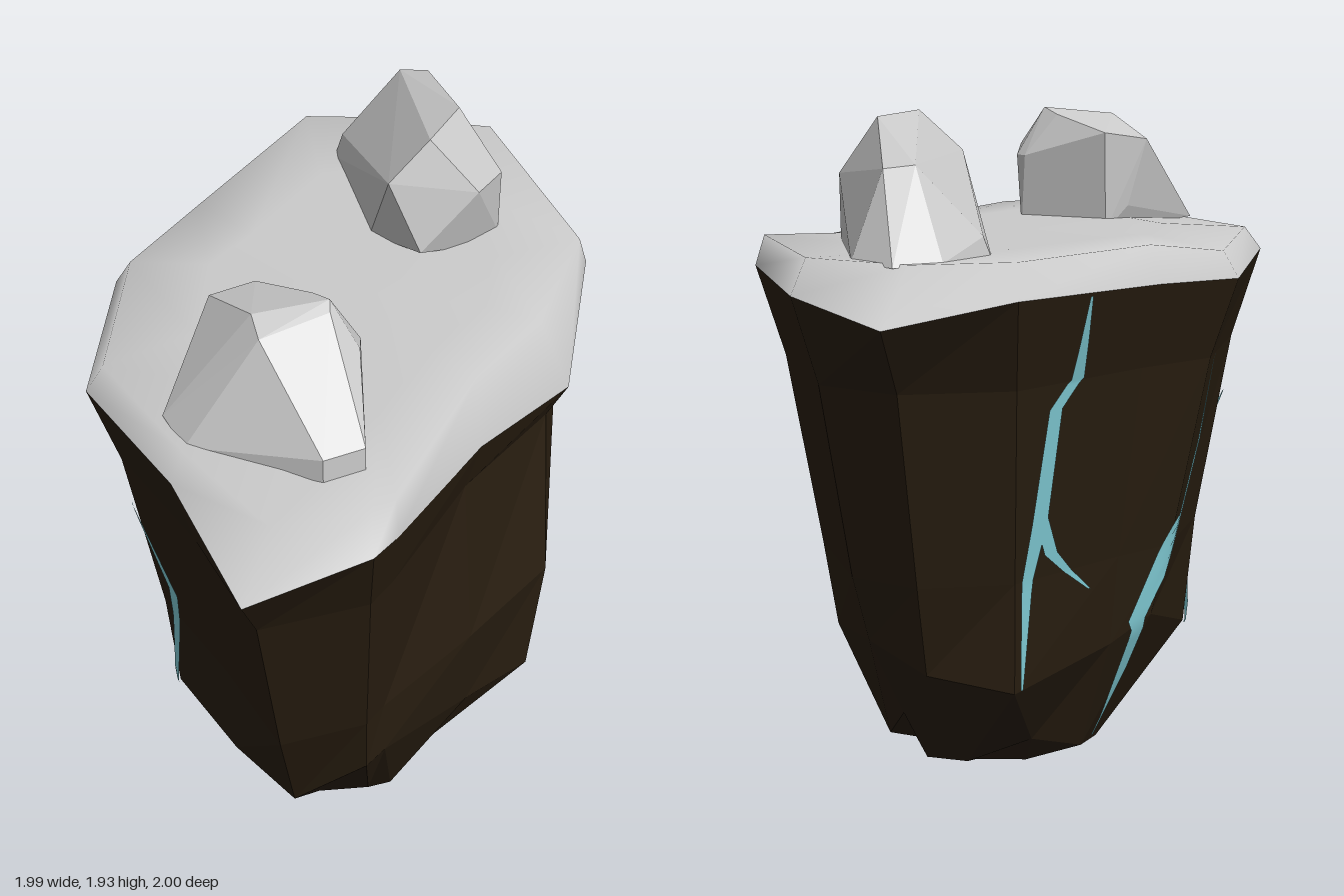
import * as THREE from 'three';
import { ConvexGeometry } from 'three/addons/geometries/ConvexGeometry.js';

// Rim of the island: x, height, z
const RIM = [
  [-1, 1.46, -0.53], [-0.89, 1.39, -0.89], [-0.57, 1.46, -1], [0.17, 1.47, -0.76], [0.49, 1.31, -0.44],
  [0.66, 1.38, 0.02], [0.94, 1.45, 0.52], [0.99, 1.46, 0.64], [0.89, 1.39, 1], [0.4, 1.47, 0.9],
  [-0.12, 1.47, 0.85], [-0.61, 1.44, 0.44], [-0.72, 1.45, 0.1],
];

// Lower break of the body, where the walls turn inwards
const KNEE = [
  [-0.7, 0.3, -0.37], [-0.6, 0.36, -0.6], [-0.38, 0.43, -0.67], [0.12, 0.37, -0.52], [0.5, 0.33, -0.31],
  [0.52, 0.32, -0.06], [0.67, 0.43, 0.36], [0.7, 0.43, 0.45], [0.5, 0.22, 0.57], [0.28, 0.3, 0.63],
  [-0.09, 0.3, 0.59], [-0.44, 0.42, 0.25], [-0.5, 0.36, 0.07],
];

// Corners of the underside
const FOOT = [
  [-0.45, 0.09, -0.17], [-0.35, 0.02, -0.33], [-0.23, 0.16, -0.48], [0.07, 0.02, -0.37], [0.25, 0.05, -0.21],
  [0.35, 0.02, 0.03], [0.47, 0.07, 0.19], [0.45, 0.07, 0.26], [0.33, 0.02, 0.36], [0.18, 0.02, 0.42],
  [-0.06, 0.13, 0.35], [-0.27, 0.02, 0.16], [-0.35, 0.02, 0.06],
];

// Joins closed rings of points, listed from top to bottom
function loft(rings) {
  const n = rings[0].length, index = [];
  for (let r = 0; r < rings.length - 1; r++) {
    for (let i = 0; i < n; i++) {
      const j = (i + 1) % n;
      const a = r * n + i, b = r * n + j, c = a + n, d = b + n;
      index.push(a, b, d, a, d, c);
    }
  }
  const geo = new THREE.BufferGeometry();
  geo.setAttribute('position', new THREE.Float32BufferAttribute(rings.flat(2), 3));
  geo.setIndex(index);
  geo.computeVertexNormals();
  return geo;
}

// A ring scaled towards the middle and laid at one height
const ring = (points, y, s) => points.map(([x, , z]) => [x * s, y, z * s]);

function bodyGeometry() {
  const shoulder = ring(RIM, 1.2, 0.885);
  const waist = ring(RIM, 0.63, 0.745);
  // Bulge on the right-hand back flank
  shoulder[4] = [0.44, 1.2, -0.4];
  shoulder[5] = [0.59, 1.2, 0.02];
  waist[4] = [0.54, 0.71, -0.34];
  waist[5] = [0.61, 0.65, 0.0];
  waist[8] = [0.62, 0.58, 0.7];
  waist[11] = [-0.45, 0.63, 0.31];
  return loft([RIM, shoulder, waist, KNEE, FOOT, ring(FOOT, 0, 0.78), ring(FOOT, 0, 0)]);
}

function capGeometry() {
  const inner = ring(RIM, 1.56, 0.935);
  // Back left corner slopes off, right edge stands almost upright, front dips
  inner[1] = [-0.77, 1.55, -0.74];
  inner[3] = [0.17, 1.56, -0.73];
  inner[4] = [0.42, 1.53, -0.38];
  inner[5] = [0.57, 1.55, -0.03];
  inner[6] = [0.92, 1.56, 0.515];
  inner[8] = [0.79, 1.535, 0.84];
  inner[9][1] = inner[10][1] = 1.54;
  inner[11][1] = 1.52;
  return loft([ring(RIM, 1.56, 0), ring(RIM, 1.56, 0.6), inner, RIM]);
}

// Ribbon laid on the body; each row is height, left x, right x
function crackGeometry(body, rows) {
  const { lerp } = THREE.MathUtils;
  const ray = new THREE.Raycaster();
  const pos = [], index = [];
  const project = (x, y) => {
    for (let k = 0; k < 20; k++) {
      ray.set(new THREE.Vector3(x * (1 - 0.01 * k), y, 3), new THREE.Vector3(0, 0, -1));
      const hit = ray.intersectObject(body)[0];
      if (hit) return hit.point.addScaledVector(hit.face.normal, 0.01);
    }
    return new THREE.Vector3(x, y, 0);
  };
  const steps = 12, across = 4, n = across + 1;
  for (let r = 0; r < rows.length - 1; r++) {
    for (let k = r ? 1 : 0; k <= steps; k++) {
      const [y, left, right] = rows[r].map((v, i) => lerp(v, rows[r + 1][i], k / steps));
      for (let c = 0; c < n; c++) pos.push(...project(lerp(left, right, c / across), y).toArray());
    }
  }
  for (let v = 0; v < pos.length / 3 - n; v += n) {
    for (let a = v; a < v + across; a++) index.push(a, a + n, a + 1, a + 1, a + n, a + n + 1);
  }
  const geo = new THREE.BufferGeometry();
  geo.setAttribute('position', new THREE.Float32BufferAttribute(pos, 3));
  geo.setIndex(index);
  geo.computeVertexNormals();
  return geo;
}

const CRACKS = [
  [[1.45, -0.865, -0.86], [1.21, -0.79, -0.765], [1.13, -0.81, -0.785], [0.8, -0.76, -0.73], [0.31, -0.695, -0.69]],
  [[0.82, -0.76, -0.735], [0.7, -0.71, -0.685], [0.56, -0.595, -0.59]],
  [[1.22, -0.545, -0.54], [0.94, -0.445, -0.41], [0.88, -0.455, -0.415], [0.42, -0.485, -0.455], [0.05, -0.345, -0.335]],
  [[1.03, -0.105, -0.1], [0.77, 0.015, 0.07], [0.57, -0.035, 0.005], [0.36, -0.09, -0.065], [0.3, -0.09, -0.085]],
];

// Corner points of the two boulders
const BOULDERS = {
  longBoulder: [
    [-0.6, 1.8, -0.73], [-0.64, 1.81, -0.65], [-0.18, 1.92, -0.53], [-0.06, 1.93, -0.33],
    [0.04, 1.76, -0.44], [-0.09, 1.81, -0.2], [-0.03, 1.75, -0.58], [-0.6, 1.55, -0.83], [-0.75, 1.54, -0.78],
    [-0.78, 1.55, -0.64], [-0.7, 1.61, -0.47], [-0.7, 1.54, -0.44], [-0.25, 1.54, -0.25], [-0.02, 1.58, -0.27],
    [-0.02, 1.54, -0.45], [-0.04, 1.54, -0.58],
  ],
  pointedBoulder: [
    [0.11, 1.81, 0.57], [0.15, 1.83, 0.44], [0.35, 1.88, 0.59], [0.43, 1.85, 0.62], [0.44, 1.9, 0.39],
    [0.36, 1.88, 0.39], [0.47, 1.88, 0.41], [0.54, 1.78, 0.36], [0.46, 1.75, 0.3], [0.41, 1.75, 0.3],
    [0.76, 1.63, 0.5], [0.73, 1.62, 0.62], [0.35, 1.53, 0.82], [0.21, 1.55, 0.8], [0.14, 1.6, 0.52],
    [0.16, 1.52, 0.45], [0.76, 1.52, 0.5], [0.73, 1.52, 0.62], [0.43, 1.52, 0.3],
  ],
};

export function createModel() {
  const group = new THREE.Group();
  const add = (name, geo, options) => {
    const mesh = new THREE.Mesh(geo, new THREE.MeshStandardMaterial(options));
    mesh.name = name;
    group.add(mesh);
    return mesh;
  };

  // Earth block and its smooth top
  const body = add('earthBody', bodyGeometry(), { color: 0x2a1f11, flatShading: true });
  add('topCap', capGeometry(), { color: 0xcccccc });

  // Boulders standing on the top
  for (const [name, points] of Object.entries(BOULDERS)) {
    const geo = new ConvexGeometry(points.map((p) => new THREE.Vector3(...p)));
    add(name, geo, { color: 0xcccccc, flatShading: true });
  }

  // Glowing veins on the front
  CRACKS.forEach((rows, i) =>
    add(`crack${i + 1}`, crackGeometry(body, rows), { color: 0x86d4de, side: THREE.DoubleSide }));

  return group;
}
